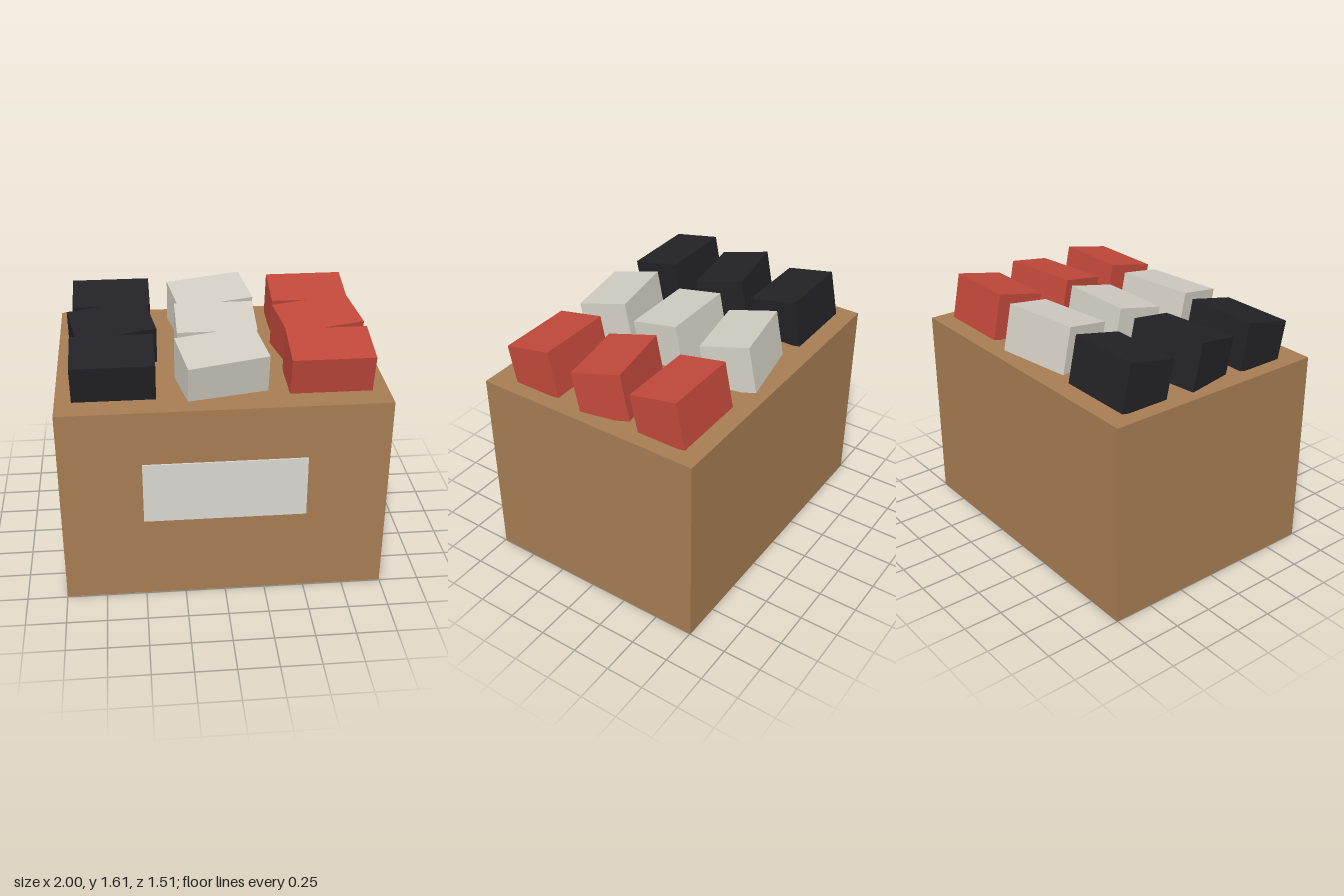
import * as THREE from 'three';

function addBox(parent, name, size, position, color) {
  const mesh = new THREE.Mesh(
    new THREE.BoxGeometry(...size),
    new THREE.MeshStandardMaterial({ color })
  );
  mesh.name = name;
  mesh.position.set(...position);
  parent.add(mesh);
  return mesh;
}

export function createModel() {
  const model = new THREE.Group();
  model.name = 'crateOfBoxes';

  // Cardboard crate with a pale label on the front
  addBox(model, 'crate', [2, 1.3, 1.5], [0, 0.65, -0.005], 0xa67c52);
  addBox(model, 'frontLabel', [1, 0.4, 0.02], [0, 0.75, 0.745], 0xd8d6d0);

  // Three columns of tilted small boxes, every second one also turned
  const columns = [
    ['black', 0x222226],
    ['white', 0xd0ccc2],
    ['red', 0xc0483a],
  ];
  const boxes = new THREE.Group();
  boxes.name = 'smallBoxes';
  model.add(boxes);
  columns.forEach(([label, color], i) => {
    for (let j = 0; j < 3; j++) {
      const position = [(i - 1) * 0.65, 1.425, (j - 1) * 0.45 - 0.007];
      const box = addBox(boxes, `${label}Box${j + 1}`, [0.5, 0.3, 0.318], position, color);
      box.rotation.set(0.2, (i + j) % 2 ? 0.2 : 0, 0);
    }
  });

  return model;
}
